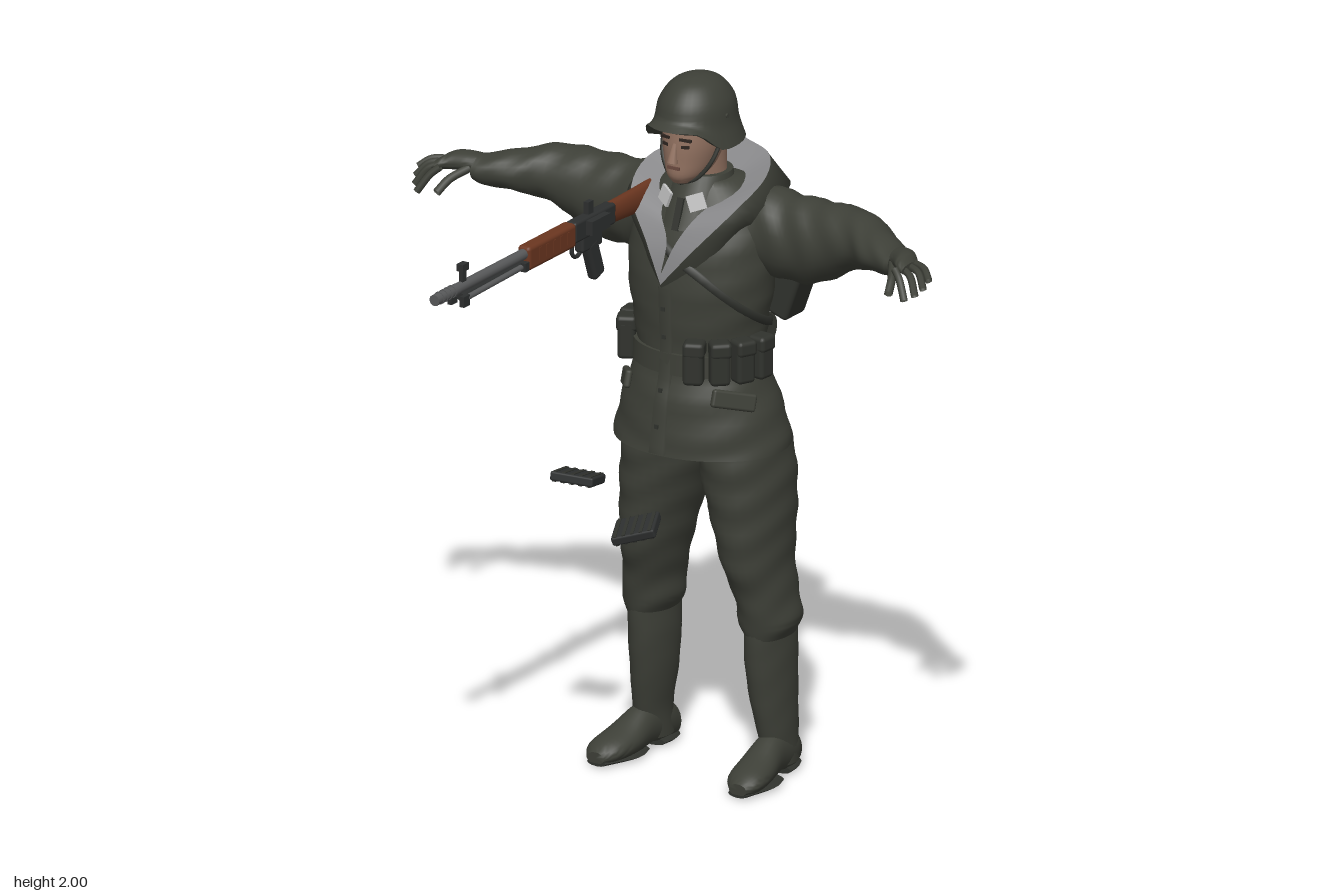
import * as THREE from 'three';
import { toCreasedNormals } from 'three/addons/utils/BufferGeometryUtils.js';
import { RoundedBoxGeometry } from 'three/addons/geometries/RoundedBoxGeometry.js';

const V = (p) => new THREE.Vector3(...p);
const mat = (name, color, side = THREE.FrontSide) => {
  const m = new THREE.MeshStandardMaterial({ color, side });
  m.name = name;
  return m;
};

export function createModel() {
  const root = new THREE.Group();
  root.name = 'soldier';
  const cloth = mat('field grey cloth', 0x3d3f37, THREE.DoubleSide);
  const leather = mat('dark leather', 0x30322d, THREE.DoubleSide);
  const lining = mat('pale grey lining', 0x88888a, THREE.DoubleSide);
  const skin = mat('skin', 0x90705f);
  const lips = mat('lip brown', 0x6b4a40);
  const hair = mat('dark brown', 0x2e2520);
  const wood = mat('rifle wood', 0x6b3620);
  const metal = mat('gunmetal', 0x2d2f2f);
  const steel = mat('barrel steel', 0x58595a);
  const pale = mat('collar tab', 0xc4c4c4);

  const add = (name, geo, m, pos, rot) => {
    const mesh = new THREE.Mesh(geo, m);
    mesh.name = name;
    if (pos) mesh.position.set(...pos);
    if (rot) mesh.rotation.set(...rot);
    root.add(mesh);
    return mesh;
  };
  const box = (name, m, size, pos, rot) => add(name, new THREE.BoxGeometry(...size), m, pos, rot);
  const soft = (name, m, size, pos, rot, r = 0.012) => add(name, new RoundedBoxGeometry(...size, 2, r), m, pos, rot);
  // round bar between two points
  const rod = (name, m, a, b, r0, r1 = r0, seg = 12) => {
    const d = V(b).sub(V(a));
    const mesh = add(name, new THREE.CylinderGeometry(r1, r0, d.length(), seg), m);
    mesh.position.copy(V(a)).addScaledVector(d, 0.5);
    mesh.quaternion.setFromUnitVectors(new THREE.Vector3(0, 1, 0), d.normalize());
    return mesh;
  };
  const tube = (name, m, pts, r) => add(name, new THREE.TubeGeometry(new THREE.CatmullRomCurve3(pts.map(V)), 12, r, 7), m);

  // smooth body through oval rings [x, y, z, half size, half size], listed upwards along the axis
  const loft = (name, m, axis, rings, { s = 1, fold = 0, rule, steps = 4, seg = 28 } = {}) => {
    const cen = new THREE.CatmullRomCurve3(rings.map((r) => V(r.slice(0, 3))), false, 'catmullrom');
    const siz = new THREE.CatmullRomCurve3(rings.map((r) => V([r[3], r[4], 0])), false, 'catmullrom');
    const n = (rings.length - 1) * steps, pos = [], idx = [];
    const put = (p) => { if (rule) rule(p); pos.push(p.x * s, p.y, p.z); };
    for (let i = 0; i <= n; i++) {
      const c = cen.getPoint(i / n), h = siz.getPoint(i / n);
      for (let j = 0; j < seg; j++) {
        const t = (j / seg) * Math.PI * 2, k = 1 + fold * Math.sin(c[axis] * 62 + 2.2 * Math.sin(t * 2 + 1));
        const u = Math.cos(t) * k, v = Math.sin(t) * k, p = c.clone();
        if (axis === 'y') { p.z += u * h.y; p.x += v * h.x; }
        else if (axis === 'x') { p.y += u * h.x; p.z += v * h.y; }
        else { p.x += u * h.x; p.y += v * h.y; }
        put(p);
      }
    }
    const tri = (a, b, c) => (s > 0 ? idx.push(a, b, c) : idx.push(a, c, b));
    const end = (n + 1) * seg;
    put(cen.getPoint(0));
    put(cen.getPoint(1));
    for (let j = 0; j < seg; j++) {
      const k = (j + 1) % seg;
      for (let i = 0; i < n; i++) {
        const a = i * seg + j, b = i * seg + k;
        tri(a, b, b + seg);
        tri(a, b + seg, a + seg);
      }
      tri(end, k, j);
      tri(end + 1, n * seg + j, n * seg + k);
    }
    const g = new THREE.BufferGeometry();
    g.setAttribute('position', new THREE.Float32BufferAttribute(pos, 3));
    g.setIndex(idx);
    return add(name, toCreasedNormals(g, 0.9), m);
  };

  // open cloth sheet spanning several edge curves
  const sheet = (name, m, edges, s = 1, n = 24) => {
    const pos = [], idx = [];
    edges.forEach((e) => new THREE.CatmullRomCurve3(e.map(V)).getPoints(n).forEach((p) => pos.push(p.x * s, p.y, p.z)));
    for (let r = 0; r < edges.length - 1; r++) for (let i = 0; i < n; i++) {
      const a = r * (n + 1) + i, b = a + n + 1;
      if (s > 0) idx.push(a, a + 1, b + 1, a, b + 1, b);
      else idx.push(a, b + 1, a + 1, a, b, b + 1);
    }
    const g = new THREE.BufferGeometry();
    g.setAttribute('position', new THREE.Float32BufferAttribute(pos, 3));
    g.setIndex(idx);
    g.computeVertexNormals();
    return add(name, g, m);
  };

  // jacket
  const torso = [[0, 0.95, -0.4, 0.253, 0.21], [0, 1.0, -0.4, 0.245, 0.202], [0, 1.1, -0.395, 0.215, 0.185],
    [0, 1.2, -0.39, 0.18, 0.155], [0, 1.3, -0.392, 0.193, 0.16], [0, 1.42, -0.395, 0.212, 0.165],
    [0, 1.55, -0.41, 0.21, 0.155], [0, 1.64, -0.43, 0.175, 0.125], [0, 1.7, -0.43, 0.1, 0.09]];
  loft('jacket', cloth, 'y', torso, { fold: 0.012, seg: 40 });
  // point on the jacket: angle from the front towards the model's left
  const on = (a, y, off = 0) => {
    const i = Math.max(1, torso.findIndex((r) => r[1] >= y)), p = torso[i - 1], q = torso[i];
    const r = q.map((v, k) => p[k] + (v - p[k]) * ((y - p[1]) / (q[1] - p[1])));
    return [Math.sin(a) * (r[3] + off), y, r[2] + Math.cos(a) * (r[4] + off)];
  };
  const flapYs = [0.955, 1.03, 1.1, 1.16, 1.25, 1.33, 1.42];
  sheet('frontFlap', cloth, [[0.06, -0.008], [0.04, 0.006], [-0.14, 0.006], [-0.16, -0.008]].map(([a, d]) => flapYs.map((y) => on(a, y, d))));
  for (const y of [1.03, 1.13, 1.28, 1.36]) box('button', leather, [0.012, 0.012, 0.009], on(-0.07, y, 0.004));
  loft('belt', cloth, 'y', [[0, 1.175, -0.39, 0.194, 0.166], [0, 1.235, -0.39, 0.192, 0.164]], { seg: 40 });
  const sling = [[-0.7, 1.63], [-0.15, 1.54], [0.45, 1.46], [1, 1.38], [1.6, 1.32], [2.3, 1.28], [3.1, 1.27]];
  sheet('chestStrap', leather, [[-0.014, -0.004], [-0.012, 0.012], [0.012, 0.012], [0.014, -0.004]].map(([d, off]) => sling.map(([a, y]) => on(a, y + d, off))));
  for (const a of [0.42, 0.77, 1.12, 1.47, -1.1, -1.45]) {
    soft('ammoPouch', leather, [0.056, 0.11, 0.05], on(a, 1.22, 0.025), [0, a, 0]);
    soft('pouchFlap', leather, [0.06, 0.045, 0.058], on(a, 1.265, 0.02), [0, a, 0]);
  }
  for (const a of [-0.95, 0.95]) soft('pocketFlap', cloth, [0.13, 0.05, 0.02], on(a, 1.115, 0.003), [-0.3, a, 0], 0.008);

  // hood lying open on the shoulders, with its lining turned out
  const rim = [[-0.02, 1.43, -0.22], [0.075, 1.54, -0.234], [0.165, 1.65, -0.295], [0.185, 1.712, -0.42], [0.115, 1.735, -0.55], [0, 1.74, -0.61]];
  const inner = [[-0.02, 1.46, -0.222], [0.015, 1.55, -0.244], [0.055, 1.62, -0.28], [0.08, 1.668, -0.4], [0.055, 1.69, -0.46], [0, 1.7, -0.475]];
  const bulge = [[-0.02, 1.425, -0.223], [0.09, 1.52, -0.247], [0.185, 1.63, -0.305], [0.21, 1.66, -0.44], [0.15, 1.65, -0.6], [0, 1.63, -0.65]];
  const hem = [[-0.02, 1.42, -0.225], [0.095, 1.5, -0.262], [0.175, 1.6, -0.34], [0.18, 1.56, -0.47], [0.1, 1.5, -0.56], [0, 1.46, -0.57]];
  for (const s of [1, -1]) {
    const fit = (c) => c.map(([x, y, z]) => [x === -0.02 ? x * s : x, y, z]);
    sheet('hoodLining', lining, [fit(inner), fit(rim)], s);
    sheet('hood', cloth, [fit(rim), fit(bulge), fit(hem)], s);
    box('collarTab', pale, [0.048, 0.045, 0.008], [s * 0.05, 1.66, -0.292], [-0.2, s * 0.45, s * 0.4]);
  }
  loft('shirtCollar', cloth, 'y', [[0, 1.58, -0.4, 0.11, 0.14], [0, 1.65, -0.4, 0.092, 0.105], [0, 1.715, -0.412, 0.074, 0.078]]);
  box('collarClosure', leather, [0.02, 0.09, 0.008], [0, 1.62, -0.277], [-0.35, 0, 0]);

  // head
  loft('neck', skin, 'y', [[0, 1.66, -0.42, 0.06, 0.062], [0, 1.74, -0.41, 0.058, 0.062], [0, 1.83, -0.41, 0.062, 0.075]]);
  loft('head', skin, 'y', [[0, 1.712, -0.295, 0.026, 0.026], [0, 1.735, -0.33, 0.053, 0.075], [0, 1.775, -0.35, 0.07, 0.095],
    [0, 1.83, -0.36, 0.081, 0.103], [0, 1.92, -0.367, 0.078, 0.098]]);
  add('nose', new THREE.CylinderGeometry(0.007, 0.015, 0.055, 8), skin, [0, 1.802, -0.255], [-0.25, 0, 0]);
  box('mouth', lips, [0.038, 0.009, 0.009], [0, 1.76, -0.257]);
  for (const s of [1, -1]) {
    box('eye', hair, [0.022, 0.008, 0.009], [s * 0.031, 1.822, -0.266], [0, s * 0.3, 0]);
    box('eyebrow', hair, [0.034, 0.007, 0.009], [s * 0.032, 1.842, -0.265], [0, s * 0.3, s * -0.1]);
    tube('chinStrap', leather, [[s * 0.093, 1.83, -0.35], [s * 0.078, 1.77, -0.32], [s * 0.045, 1.725, -0.3], [0, 1.708, -0.285]], 0.006);
    rod('helmetRivet', cloth, [s * 0.095, 1.9, -0.36], [s * 0.108, 1.9, -0.36], 0.006);
  }
  // helmet, its front edge raised into a visor
  loft('helmet', cloth, 'y', [[0, 1.815, -0.365, 0.128, 0.152], [0, 1.84, -0.366, 0.119, 0.142], [0, 1.875, -0.368, 0.108, 0.13],
    [0, 1.93, -0.37, 0.098, 0.118], [0, 1.975, -0.37, 0.068, 0.082], [0, 1.995, -0.37, 0.03, 0.038], [0, 2, -0.37, 0.002, 0.002]], {
    seg: 36,
    rule: (p) => {
      if (p.y < 1.9) p.y += 0.06 * THREE.MathUtils.smoothstep((p.z + 0.37) / 0.15, 0.3, 0.9) * ((1.9 - p.y) / 0.085);
    },
  });

  // limbs, mirrored
  for (const s of [1, -1]) {
    loft('sleeve', cloth, 'x', [[0.08, 1.58, -0.44, 0.085, 0.09], [0.18, 1.565, -0.45, 0.118, 0.1], [0.27, 1.552, -0.455, 0.122, 0.095],
      [0.36, 1.56, -0.452, 0.115, 0.093], [0.485, 1.595, -0.435, 0.082, 0.086], [0.57, 1.602, -0.39, 0.06, 0.08],
      [0.65, 1.602, -0.345, 0.044, 0.06], [0.675, 1.606, -0.332, 0.038, 0.05]], { s, fold: 0.03, steps: 6 });
    loft('palm', cloth, 'x', [[0.65, 1.61, -0.34, 0.026, 0.036], [0.69, 1.622, -0.32, 0.026, 0.042],
      [0.73, 1.63, -0.285, 0.024, 0.05], [0.76, 1.622, -0.262, 0.014, 0.042]], { s });
    const tips = [[0.825, 1.6, -0.255], [0.82, 1.58, -0.235], [0.808, 1.565, -0.212], [0.788, 1.555, -0.19]];
    tips.forEach(([x, y, z], i) => tube('finger', cloth,
      [[0.735 * s, 1.625, -0.3 + 0.025 * i], [(x - 0.03) * s, 1.622 - 0.006 * i, z - 0.022], [x * s, y, z]], 0.0105));
    tube('thumb', cloth, [[0.685 * s, 1.612, -0.29], [0.715 * s, 1.59, -0.24], [0.73 * s, 1.56, -0.2]], 0.012);

    loft('trouserLeg', cloth, 'y', [[0.19, 0.405, -0.448, 0.058, 0.094], [0.188, 0.45, -0.447, 0.078, 0.106], [0.18, 0.52, -0.44, 0.076, 0.11],
      [0.163, 0.62, -0.425, 0.084, 0.13], [0.147, 0.75, -0.427, 0.103, 0.148], [0.128, 0.88, -0.428, 0.117, 0.16],
      [0.117, 0.98, -0.42, 0.112, 0.155]], { s, fold: 0.02, steps: 6 });
    loft('bootShaft', cloth, 'y', [[0.202, 0.03, -0.478, 0.044, 0.06], [0.202, 0.12, -0.463, 0.046, 0.073], [0.193, 0.22, -0.456, 0.055, 0.086],
      [0.188, 0.34, -0.45, 0.06, 0.097], [0.188, 0.44, -0.448, 0.058, 0.1]], { s, fold: 0.01 });
    loft('bootFoot', cloth, 'z', [[0.195, 0.05, -0.542, 0.032, 0.045], [0.202, 0.065, -0.5, 0.043, 0.065], [0.207, 0.068, -0.42, 0.045, 0.065],
      [0.217, 0.047, -0.33, 0.057, 0.045], [0.226, 0.036, -0.26, 0.054, 0.032], [0.23, 0.026, -0.22, 0.028, 0.017]],
    { s, rule: (p) => { p.y = Math.max(p.y, 0.012 + 0.012 * Math.max(0, 1 - Math.abs(p.z + 0.42) / 0.06)); } });
    loft('bootSole', leather, 'z', [[0.217, 0.01, -0.4, 0.046, 0.01], [0.219, 0.01, -0.33, 0.06, 0.01], [0.228, 0.013, -0.222, 0.03, 0.01]], { s, seg: 12 });
    loft('bootHeel', leather, 'z', [[0.196, 0.012, -0.542, 0.03, 0.012], [0.2, 0.012, -0.5, 0.043, 0.012], [0.204, 0.012, -0.455, 0.044, 0.012]], { s, seg: 12 });
  }

  // back gear: a case slung aslant, with a bag and a roll below
  soft('packCase', leather, [0.39, 0.17, 0.1], [0.005, 1.4, -0.61], [0, 0, -0.35]);
  soft('packLid', leather, [0.394, 0.04, 0.107], [0.03, 1.467, -0.611], [0, 0, -0.35]);
  soft('breadBag', cloth, [0.22, 0.16, 0.09], [-0.08, 1.2, -0.57], [0.1, 0, -0.1], 0.03);
  rod('groundsheetRoll', cloth, [0.04, 1.175, -0.648], [-0.2, 1.2, -0.648], 0.056, 0.056, 24);
  for (const x of [-0.02, -0.14]) {
    const y = 1.179 - x * 0.104;
    rod('rollStrap', leather, [x + 0.01, y - 0.001, -0.648], [x - 0.01, y + 0.001, -0.648], 0.06, 0.06, 24);
  }
  rod('bayonetHandle', leather, [-0.212, 1.32, -0.45], [-0.238, 1.15, -0.465], 0.016);
  rod('bayonetGuard', metal, [-0.238, 1.15, -0.495], [-0.238, 1.15, -0.435], 0.01);
  rod('bayonetScabbard', metal, [-0.238, 1.15, -0.465], [-0.298, 0.8, -0.51], 0.018, 0.004);

  // rifle
  const gx = -0.14;
  rod('barrel', steel, [gx, 1.645, 0.04], [gx, 1.645, 0.62], 0.015);
  rod('muzzle', steel, [gx, 1.645, 0.6], [gx, 1.645, 0.71], 0.016);
  for (let z = 0.62; z < 0.7; z += 0.02) rod('muzzleRing', steel, [gx, 1.645, z], [gx, 1.645, z + 0.008], 0.018);
  rod('gasTube', metal, [gx, 1.615, 0.27], [gx, 1.615, 0.58], 0.012);
  for (const s of [1, -1]) {
    rod('bipodLeg', steel, [gx + s * 0.018, 1.622, 0.29], [gx + s * 0.02, 1.618, 0.58], 0.008);
    box('bipodFoot', metal, [0.014, 0.03, 0.03], [gx + s * 0.02, 1.612, 0.59]);
    box('bipodSpade', metal, [0.016, 0.025, 0.02], [gx + s * 0.024, 1.622, 0.3]);
  }
  box('frontSight', metal, [0.012, 0.06, 0.02], [gx, 1.68, 0.57]);
  box('frontSightHood', metal, [0.02, 0.02, 0.03], [gx, 1.7, 0.57]);
  soft('handguard', wood, [0.042, 0.07, 0.235], [gx, 1.632, 0.155]);
  for (let z = 0.08; z < 0.25; z += 0.035) box('handguardRib', wood, [0.045, 0.036, 0.012], [gx, 1.635, z]);
  soft('receiver', metal, [0.036, 0.06, 0.2], [gx, 1.635, -0.06], [0, 0, 0], 0.008);
  box('magazineWell', metal, [0.025, 0.04, 0.09], [gx + 0.026, 1.638, -0.055]);
  box('rearSight', metal, [0.015, 0.04, 0.025], [gx, 1.68, -0.05]);
  rod('chargingHandle', metal, [gx, 1.64, 0.13], [gx - 0.055, 1.63, 0.13], 0.006);
  add('triggerGuard', new THREE.TorusGeometry(0.024, 0.006, 6, 16), metal, [gx, 1.582, 0.01], [0, Math.PI / 2, 0]);
  soft('gripFrame', metal, [0.03, 0.05, 0.1], [gx, 1.59, -0.05], [0, 0, 0], 0.008);
  soft('pistolGrip', metal, [0.032, 0.12, 0.052], [gx, 1.53, -0.07], [0.35, 0, 0]);
  loft('stock', wood, 'z', [[gx, 1.63, -0.39, 0.018, 0.045], [gx, 1.632, -0.28, 0.018, 0.038], [gx, 1.635, -0.15, 0.018, 0.032]], { seg: 16 });

  // loose magazines
  for (const [pos, rot] of [[[-0.213, 0.873, -0.108], [-0.2, 0.2, 0]], [[-0.085, 0.722, -0.2], [0.25, 0.4, 0.2]]]) {
    const g = new THREE.Group();
    g.name = 'spareMagazine';
    g.position.set(...pos);
    g.rotation.set(...rot);
    g.add(soft('magazineBody', metal, [0.125, 0.026, 0.1], [0, 0, 0], [0, 0, 0], 0.006));
    for (let i = -2; i <= 2; i++) g.add(box('magazineRib', leather, [0.01, 0.03, 0.094], [i * 0.025, 0, 0]));
    root.add(g);
  }
  return root;
}
